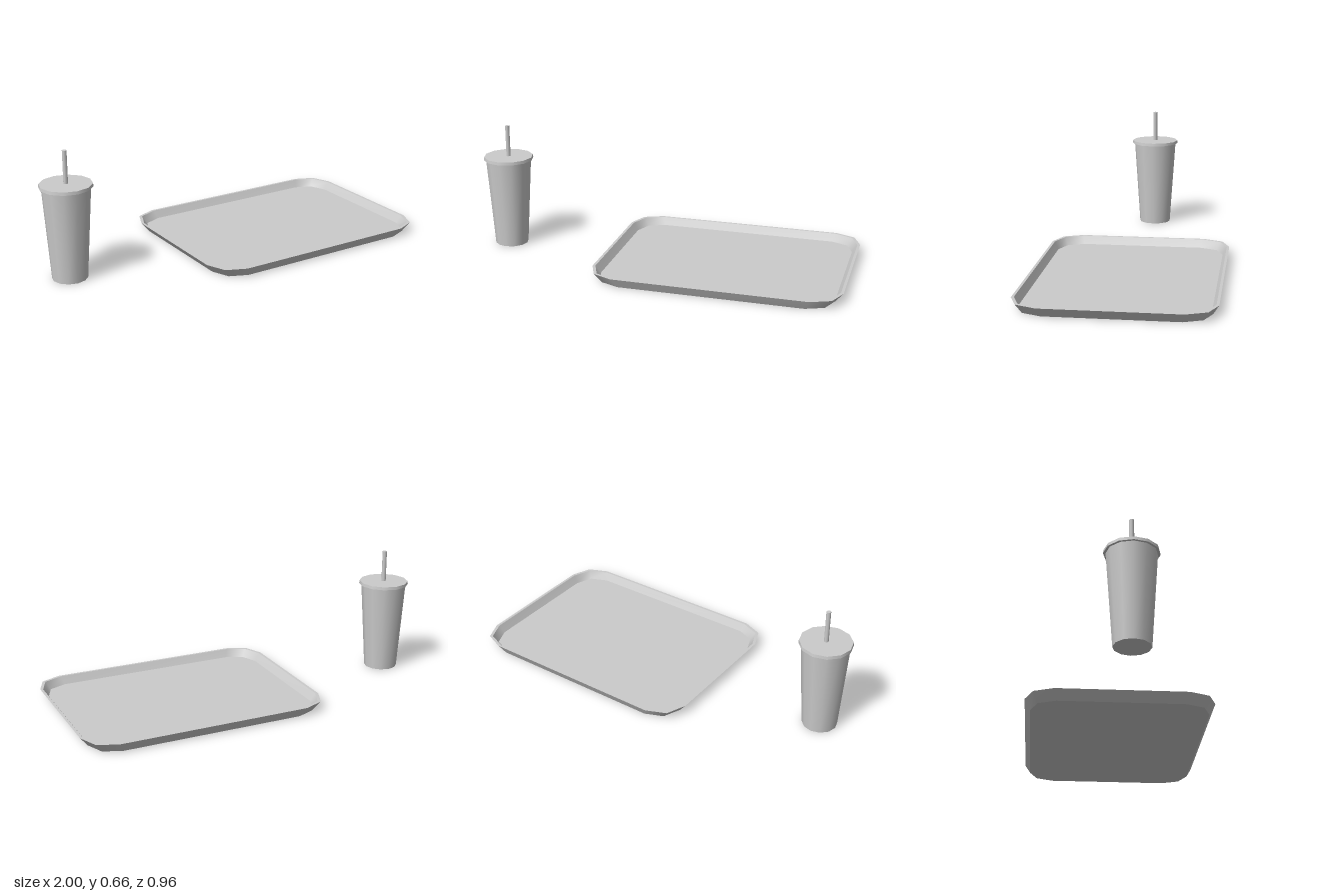
import * as THREE from 'three';
import { mergeGeometries } from 'three/addons/utils/BufferGeometryUtils.js';

// Rounded rectangle ring: half width, half depth, corner radius, height
function ring(hx, hz, r, y, segments = 2) {
  const points = [];
  const signs = [[1, 1], [-1, 1], [-1, -1], [1, -1]];
  signs.forEach(([sx, sz], corner) => {
    for (let i = 0; i <= segments; i++) {
      const a = (corner + i / segments) * Math.PI / 2;
      points.push([sx * (hx - r) + r * Math.cos(a), y, sz * (hz - r) + r * Math.sin(a)]);
    }
  });
  return points;
}

// Strip between two rings, smooth around and sharp at its borders
function band(lower, upper) {
  const n = lower.length;
  const index = [];
  for (let i = 0; i < n; i++) {
    const j = (i + 1) % n;
    index.push(i, n + i, j, j, n + i, n + j);
  }
  const geometry = new THREE.BufferGeometry();
  geometry.setAttribute('position', new THREE.Float32BufferAttribute([...lower, ...upper].flat(), 3));
  geometry.setIndex(index);
  geometry.computeVertexNormals();
  return geometry;
}

export function createModel() {
  const model = new THREE.Group();
  const material = new THREE.MeshStandardMaterial({ color: 0xcccccc });

  const add = (parent, name, geometry, y = 0) => {
    const mesh = new THREE.Mesh(geometry, material);
    mesh.name = name;
    mesh.position.y = y;
    parent.add(mesh);
    return mesh;
  };

  // Tray: underside, sloped outer wall, rim, inner wall, floor
  const rings = [
    ring(0, 0, 0, 0),
    ring(0.6, 0.452, 0.13, 0),
    ring(0.64, 0.48, 0.145, 0.05),
    ring(0.626, 0.467, 0.138, 0.05),
    ring(0.6, 0.446, 0.125, 0.01),
    ring(0, 0, 0, 0.01),
  ];
  const bands = rings.slice(1).map((upper, i) => band(rings[i], upper));
  add(model, 'tray', mergeGeometries(bands)).position.x = 0.36;

  // Drink: tapered cup, overhanging lid and straw
  const drink = new THREE.Group();
  drink.name = 'drink';
  drink.position.x = -0.867;
  model.add(drink);
  add(drink, 'cup', new THREE.CylinderGeometry(0.121, 0.089, 0.475, 12), 0.2375);
  add(drink, 'lid', new THREE.CylinderGeometry(0.131, 0.133, 0.016, 12), 0.482);
  add(drink, 'straw', new THREE.CylinderGeometry(0.012, 0.012, 0.177, 8), 0.5685);

  return model;
}
